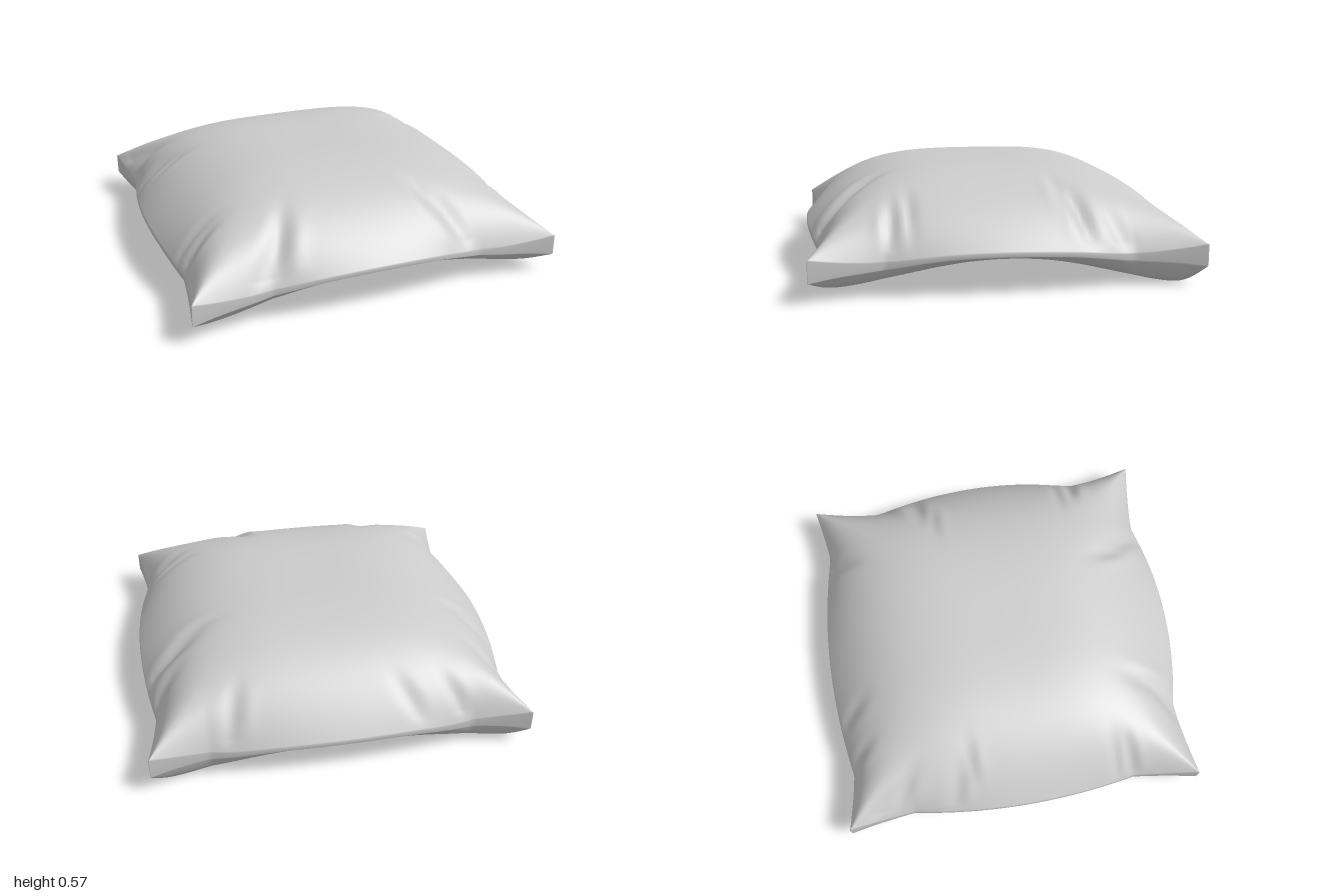
import * as THREE from 'three';

const N = 130; // grid cells per side

// Soft folds pressed into the top: [x, z, direction in radians, length, width, depth]
const FOLDS = [
  [-0.5, 0.82, -1.15, 0.15, 0.05, 0.035], [-0.6, 0.88, -0.8, 0.1, 0.04, 0.02],
  [0.42, 0.82, 1.05, 0.17, 0.055, 0.035], [0.32, 0.7, 1.4, 0.1, 0.035, 0.014],
  [0.82, 0.58, 0.1, 0.1, 0.035, 0.028], [0.78, 0.49, 0, 0.12, 0.03, 0.018],
  [0.82, -0.36, -0.25, 0.13, 0.045, 0.035], [0.7, -0.27, 0, 0.12, 0.03, 0.015],
  [0.9, -0.55, -0.6, 0.12, 0.045, 0.02], [0.56, -0.86, 1.9, 0.11, 0.045, 0.022],
  [-0.85, 0.52, 0, 0.11, 0.03, 0.02], [-0.86, 0.6, -0.2, 0.11, 0.035, 0.024],
  [-0.85, -0.36, 0.4, 0.12, 0.045, 0.024], [-0.78, -0.27, 0, 0.1, 0.03, 0.014],
  [-0.84, -0.66, 0.7, 0.12, 0.04, 0.024], [-0.9, -0.8, 0.9, 0.13, 0.035, 0.02],
  [-0.6, -0.88, 0.9, 0.1, 0.035, 0.018], [-0.35, -0.88, 0.9, 0.1, 0.04, 0.016],
];

const gauss = (d) => Math.exp(-d * d);
const arch = (t) => (1 - t * t) ** 2.4;

// Fullness: 0 along the seam, 1 in the middle, with a soft ridge on the diagonals
function fullness(u, v) {
  const a = 1 - Math.abs(u) ** 3.5, b = 1 - Math.abs(v) ** 3.5;
  if (a < 1e-6 || b < 1e-6) return 0;
  return Math.min(1, (a * b) / (a ** 3 + b ** 3 - (a * b) ** 3) ** (1 / 3));
}

// Bows each side out in the middle and pulls it in at a notch next to the corners
function pinch(u, v, notch) {
  const a = Math.abs(v);
  const p = a < notch
    ? 0.065 * (a / notch) ** 2
    : THREE.MathUtils.lerp(0.065, 0.015, ((a - notch) / (1 - notch)) ** 1.2);
  return u * (1 - p * Math.abs(u) ** 6);
}

function foldDepth(x, z) {
  let d = 0;
  for (const [fx, fz, a, len, wid, depth] of FOLDS) {
    const dx = x - fx, dz = z - fz, c = Math.cos(a), s = Math.sin(a);
    const along = (dx * c + dz * s) / len, across = (dz * c - dx * s) / wid;
    d += depth * gauss(along) * (gauss(across) - 0.25 * gauss(across - 1.7));
  }
  return d;
}

function cushionPoint(u, v, top) {
  const x = pinch(u, v, 0.62), z = pinch(v, u, v > 0 ? 0.57 : 0.68), f = fullness(u, v);
  // Seam height, dipping a little at the notches, and half height of its blunt corners
  const s = Math.min(Math.abs(u), Math.abs(v)), mid = arch(s);
  const seam = 0.155 + 0.045 * mid + 0.02 * v * mid - 0.015 * gauss((s - 0.62) / 0.2);
  const half = 0.01 + 0.045 * s ** 4;
  if (top) {
    const low = seam + half;
    return [x, low + (0.565 - low) * f - foldDepth(x, z) * Math.min(1, f * 6), z];
  }
  // Deep hollow underside with a rounded lip, lower at the back
  const under = 0.011 + 0.03 * v + 0.15 * (arch(u) + arch(v));
  const k = Math.sin((Math.min(1, f / 0.36) * Math.PI) / 2);
  return [x, THREE.MathUtils.lerp(seam - half, under, k), z];
}

function cushionGeometry() {
  const pos = [], index = [], row = N + 1, layer = row * row;
  const param = (i) => {
    const t = (2 * i) / N - 1;
    return 0.3 * t + 0.7 * Math.sin((t * Math.PI) / 2); // finer near the seam
  };
  for (const top of [true, false])
    for (let j = 0; j <= N; j++)
      for (let i = 0; i <= N; i++) pos.push(...cushionPoint(param(i), param(j), top));

  // Top and underside
  for (let j = 0; j < N; j++)
    for (let i = 0; i < N; i++) {
      const a = j * row + i, b = a + 1, c = a + row, d = c + 1, o = layer;
      index.push(a, c, b, b, c, d);
      index.push(a + o, b + o, c + o, b + o, d + o, c + o);
    }
  // Seam strip joining both
  const strip = (a, b) => index.push(a, a + layer, b, b, a + layer, b + layer);
  for (let i = 0; i < N; i++) {
    strip(N * row + i, N * row + i + 1);
    strip(i + 1, i);
    strip((i + 1) * row + N, i * row + N);
    strip(i * row, (i + 1) * row);
  }
  const geo = new THREE.BufferGeometry();
  geo.setAttribute('position', new THREE.Float32BufferAttribute(pos, 3));
  geo.setIndex(index);
  geo.computeVertexNormals();
  return geo;
}

export function createModel() {
  const group = new THREE.Group();
  group.name = 'pillow';
  const cushion = new THREE.Mesh(cushionGeometry(), new THREE.MeshStandardMaterial({ color: 0xcccccc }));
  cushion.name = 'cushion';
  group.add(cushion);
  return group;
}
